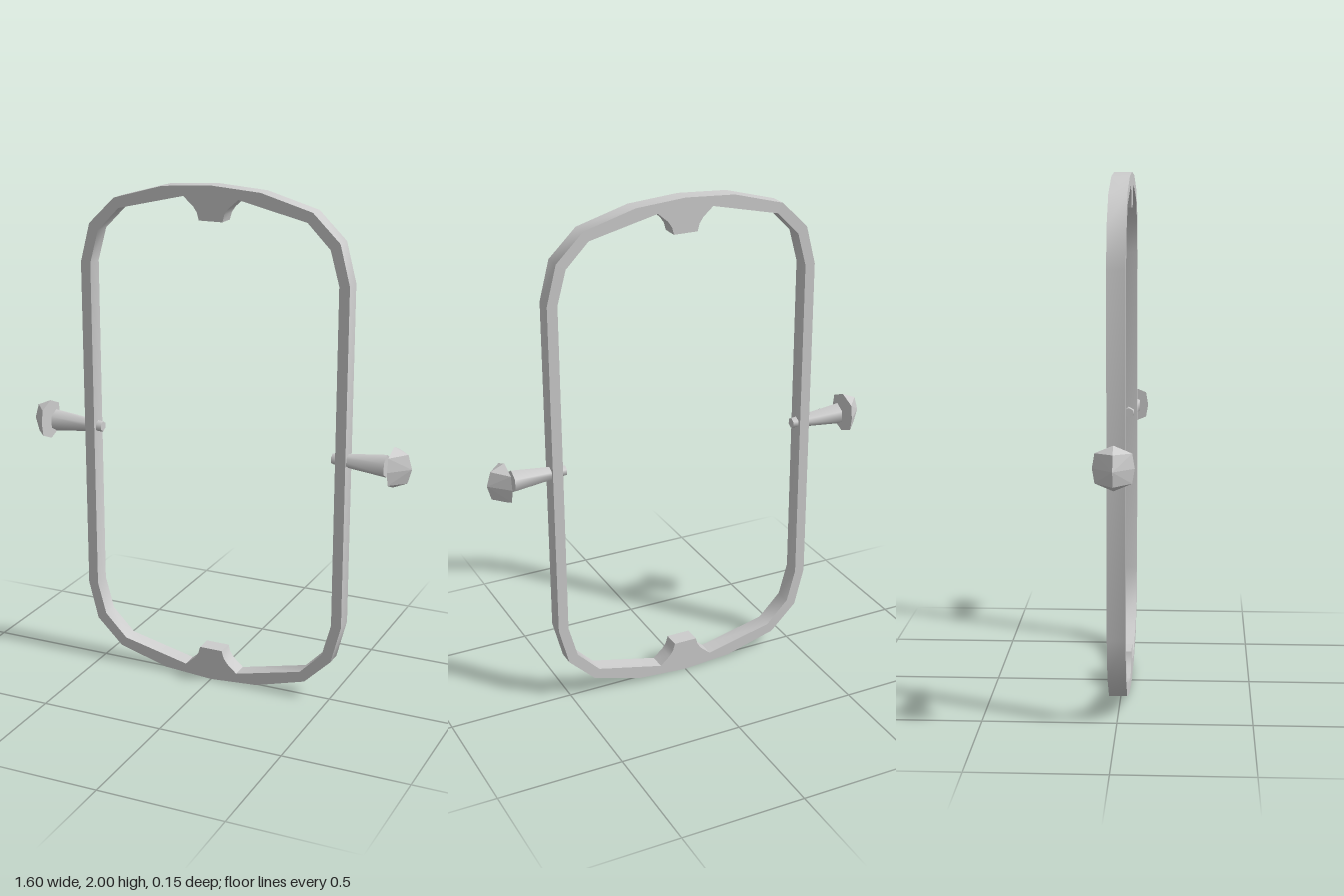
import * as THREE from 'three';
import { toCreasedNormals } from 'three/addons/utils/BufferGeometryUtils.js';

export function createModel() {
  const model = new THREE.Group();
  const grey = new THREE.MeshStandardMaterial({ color: 0xcccccc });
  grey.name = 'plain grey';

  // Mirror a quarter outline (top centre to right side) into a counter-clockwise loop
  const loop = (q) => {
    const right = [...q, ...q.map(([x, y]) => [x, 2 - y]).reverse()];
    const left = right.map(([x, y]) => [-x, y]).reverse();
    return [...right, ...left].reverse().map(([x, y]) => new THREE.Vector2(x, y))
      .filter((p, i, a) => p.distanceTo(a[(i + 1) % a.length]) > 1e-4);
  };

  // Faceted ring with an inward tab at the top and bottom
  const shape = new THREE.Shape(loop([[0, 2], [0.2, 1.986], [0.405, 1.928], [0.513, 1.823], [0.553, 1.67]]));
  shape.holes.push(new THREE.Path(loop([
    [0.048, 1.867], [0.056, 1.896], [0.072, 1.919], [0.112, 1.954],
    [0.385, 1.89], [0.476, 1.798], [0.512, 1.668],
  ])));
  const depth = 0.068;
  const ringGeo = new THREE.ExtrudeGeometry(shape, { depth, bevelEnabled: false });
  ringGeo.translate(0, 0, -depth / 2);
  const ring = new THREE.Mesh(toCreasedNormals(ringGeo, 0.7), grey);
  ring.name = 'frame';
  model.add(ring);

  // Ridged cap: flat eight-sided rim, raised vertical ridge and a closed back
  const rim = [[0.08, 0], [0.053, 0.065], [0, 0.074], [-0.053, 0.065],
    [-0.08, 0], [-0.053, -0.065], [0, -0.074], [0.053, -0.065]].map(([y, z]) => [0.73, y, z]);
  const ridge = [[0.786, 0.056, 0], [0.802, 0, 0], [0.786, -0.056, 0]];
  const half = [[0, 1, 8], [1, 9, 8], [1, 2, 9], [2, 3, 9], [3, 10, 9], [3, 4, 10]];
  const mirrored = half.map((f) => f.map((i) => (i < 8 ? (8 - i) % 8 : i)).reverse());
  const back = [1, 2, 3, 4, 5, 6].map((i) => [0, i + 1, i]);
  const indexed = new THREE.BufferGeometry();
  indexed.setAttribute('position', new THREE.Float32BufferAttribute([...rim, ...ridge].flat(), 3));
  indexed.setIndex([...half, ...mirrored, ...back].flat());
  const capGeo = indexed.toNonIndexed();
  capGeo.computeVertexNormals();

  // Tapered six-sided pin that passes through the frame
  const pinGeo = new THREE.CylinderGeometry(0.045, 0.021, 0.215, 6);
  pinGeo.rotateZ(-Math.PI / 2);
  pinGeo.rotateX(Math.PI / 2);
  pinGeo.translate(0.5975, 1, 0);

  for (const side of [1, -1]) {
    const knob = new THREE.Group();
    knob.name = side > 0 ? 'leftKnob' : 'rightKnob';
    const pin = new THREE.Mesh(pinGeo, grey);
    pin.name = 'pin';
    const cap = new THREE.Mesh(capGeo, grey);
    cap.name = 'cap';
    cap.position.y = 1;
    knob.add(pin, cap);
    if (side < 0) knob.rotation.y = Math.PI;
    model.add(knob);
  }
  return model;
}
